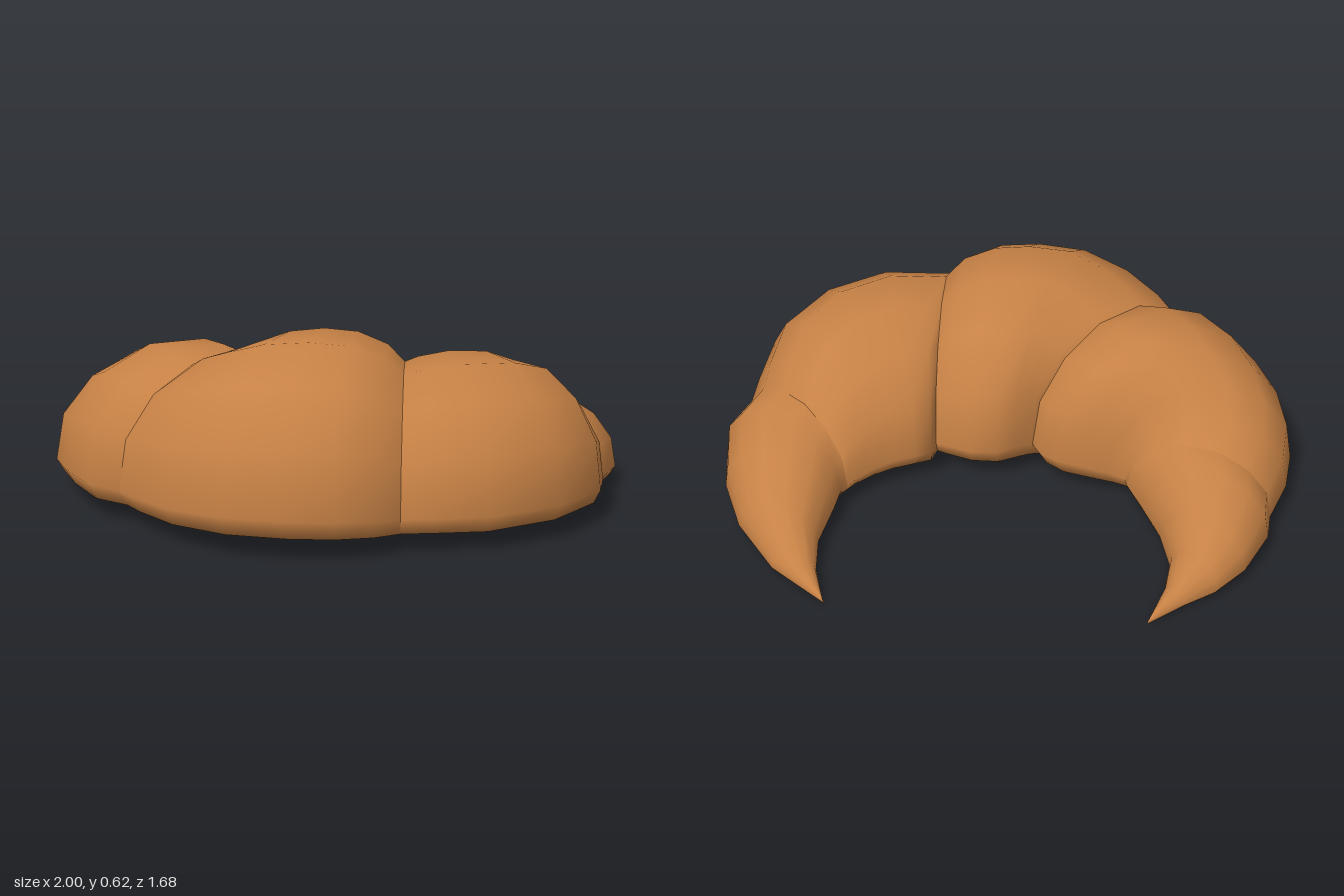
import * as THREE from 'three';

// Cross-section of the roll: u runs from inner (-1) to outer (1) edge, v is a share of the height
const SECTION = [
  [1, 0.23], [0.92, 0.57], [0.64, 0.84], [0.24, 1], [-0.24, 1], [-0.64, 0.84], [-0.92, 0.57],
  [-1, 0.23], [-0.92, 0.12], [-0.64, 0.05], [-0.24, 0], [0.24, 0], [0.64, 0.05], [0.92, 0.12],
];

// Each station: inner x, inner z, outer x, outer z, height.
// Neighbouring lobes meet in a shared crease station.
const LOBES = {
  leftTip: [
    [0.52, -0.84, 0.52, -0.84, 0.01],
    [0.57, -0.70, 0.72, -0.70, 0.07],
    [0.585, -0.58, 0.87, -0.52, 0.16],
    [0.56, -0.42, 0.96, -0.33, 0.24],
    [0.55, -0.34, 1.0, -0.13, 0.30],
    [0.53, -0.32, 0.95, 0.02, 0.32],
  ],
  leftLobe: [
    [0.53, -0.32, 0.95, 0.02, 0.32],
    [0.50, -0.29, 0.94, 0.12, 0.39],
    [0.44, -0.25, 0.92, 0.30, 0.47],
    [0.38, -0.22, 0.78, 0.52, 0.52],
    [0.31, -0.19, 0.56, 0.67, 0.535],
    [0.26, -0.16, 0.38, 0.70, 0.52],
    [0.25, -0.10, 0.28, 0.71, 0.51],
  ],
  middleLobe: [
    [0.25, -0.10, 0.28, 0.71, 0.51],
    [0.21, -0.13, 0.20, 0.78, 0.57],
    [0.12, -0.17, 0.08, 0.83, 0.61],
    [0.03, -0.17, -0.07, 0.84, 0.62],
    [-0.03, -0.13, -0.27, 0.81, 0.61],
    [-0.06, -0.10, -0.46, 0.71, 0.57],
    [-0.08, -0.08, -0.60, 0.57, 0.53],
    [-0.09, -0.07, -0.66, 0.49, 0.50],
  ],
  rightLobe: [
    [-0.09, -0.07, -0.66, 0.49, 0.50],
    [-0.12, -0.13, -0.78, 0.44, 0.53],
    [-0.18, -0.17, -0.90, 0.27, 0.53],
    [-0.27, -0.18, -0.97, 0.12, 0.48],
    [-0.36, -0.185, -1.0, -0.03, 0.41],
    [-0.42, -0.19, -0.98, -0.18, 0.34],
    [-0.43, -0.21, -0.92, -0.34, 0.285],
  ],
  rightTip: [
    [-0.43, -0.21, -0.92, -0.34, 0.285],
    [-0.48, -0.31, -0.91, -0.44, 0.26],
    [-0.55, -0.45, -0.83, -0.60, 0.19],
    [-0.585, -0.58, -0.74, -0.69, 0.12],
    [-0.57, -0.70, -0.64, -0.75, 0.06],
    [-0.52, -0.84, -0.52, -0.84, 0.01],
  ],
};

// Skin the cross-section over a list of stations
function loft(stations) {
  const n = SECTION.length;
  const positions = [];
  const indices = [];
  stations.forEach(([ix, iz, ox, oz, h], i) => {
    SECTION.forEach(([u, v], j) => {
      const t = (u + 1) / 2;
      positions.push(ix + (ox - ix) * t, v * h, iz + (oz - iz) * t);
      if (i === stations.length - 1) return;
      const a = i * n + j;
      const b = i * n + (j + 1) % n;
      indices.push(a, b, a + n, b, b + n, a + n);
    });
  });
  const geometry = new THREE.BufferGeometry();
  geometry.setAttribute('position', new THREE.Float32BufferAttribute(positions, 3));
  geometry.setIndex(indices);
  geometry.computeVertexNormals();
  return geometry;
}

export function createModel() {
  const crust = new THREE.MeshStandardMaterial({ color: 0xc68145 });
  crust.name = 'goldenCrust';

  const croissant = new THREE.Group();
  croissant.name = 'croissant';
  for (const [name, stations] of Object.entries(LOBES)) {
    const lobe = new THREE.Mesh(loft(stations), crust);
    lobe.name = name;
    croissant.add(lobe);
  }
  return croissant;
}
